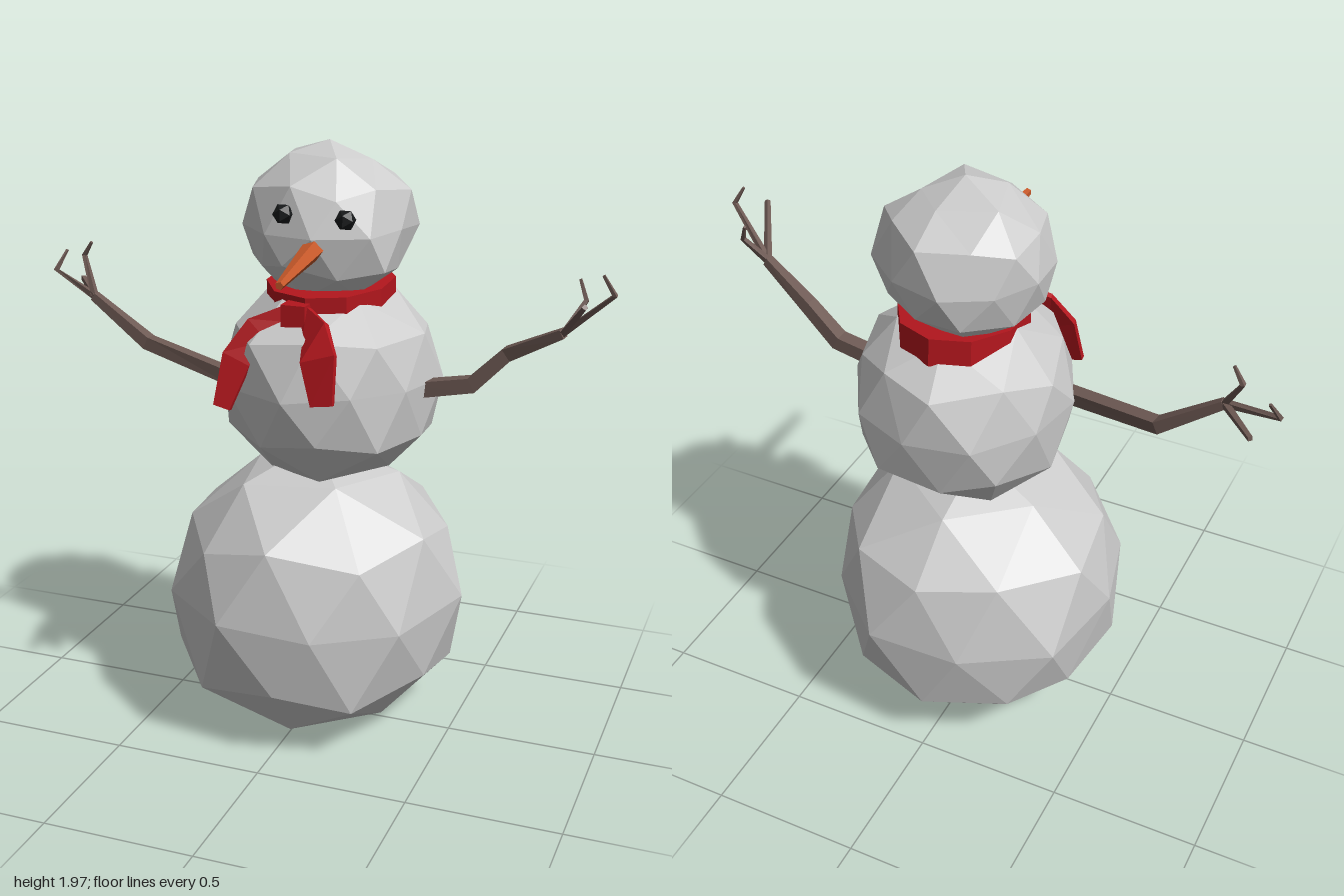
import * as THREE from 'three';

const material = (color) => new THREE.MeshStandardMaterial({ color, flatShading: true });
const snow = material(0xcccccc);
const red = material(0xb3161d);
const bark = material(0x6e5a54);
const orange = material(0xc8592a);
const coal = material(0x17191a);

function addMesh(parent, name, geometry, mat) {
  const mesh = new THREE.Mesh(geometry, mat);
  mesh.name = name;
  parent.add(mesh);
  return mesh;
}

// Lumpy faceted ball fitted into the box min..max; the powers above 2
// make its upper and lower half squarer
function snowball(min, max, turn, lump, seed, upperPower, lowerPower) {
  const geo = new THREE.IcosahedronGeometry(1, 1);
  geo.rotateZ(-Math.atan2(1, (1 + Math.sqrt(5)) / 2)); // one corner at the pole
  geo.rotateY(turn);
  const p = geo.attributes.position;
  const v = new THREE.Vector3();
  for (let i = 0; i < p.count; i++) {
    v.fromBufferAttribute(p, i);
    const power = v.y > 0 ? upperPower : lowerPower;
    v.divideScalar((Math.hypot(v.x, v.z) ** power + Math.abs(v.y) ** power) ** (1 / power));
    const { x, y, z } = v;
    v.x += lump * Math.sin(9 * y + 5 * z + seed);
    v.y += lump * Math.sin(8 * z + 6 * x + 2 * seed);
    v.z += lump * Math.sin(7 * x + 8 * y + 3 * seed);
    p.setXYZ(i, v.x, v.y, v.z);
  }
  geo.computeBoundingBox();
  const size = geo.boundingBox.getSize(new THREE.Vector3());
  const mid = geo.boundingBox.getCenter(new THREE.Vector3());
  geo.translate(-mid.x, -mid.y, -mid.z);
  geo.scale(...[size.x, size.y, size.z].map((s, k) => (max[k] - min[k]) / s));
  geo.translate(...min.map((m, k) => (m + max[k]) / 2));
  geo.computeVertexNormals();
  return geo;
}

// Tapered beam through stations [x, y, z, halfWidth, halfThickness]
function loft(stations, ref, sides = 4) {
  const pts = stations.map((s) => new THREE.Vector3(s[0], s[1], s[2]));
  const last = pts.length - 1;
  const pos = [];
  const idx = [];
  const grow = sides === 4 ? Math.SQRT2 : 1;
  pts.forEach((p, i) => {
    const t = new THREE.Vector3();
    if (i > 0) t.add(p.clone().sub(pts[i - 1]).normalize());
    if (i < last) t.add(pts[i + 1].clone().sub(p).normalize());
    t.normalize();
    const a = t.clone().cross(ref).normalize();
    const b = t.clone().cross(a);
    const [, , , w, h = w] = stations[i];
    for (let k = 0; k < sides; k++) {
      const ang = ((k + 0.5) / sides) * Math.PI * 2;
      const q = p.clone()
        .addScaledVector(a, Math.cos(ang) * w * grow)
        .addScaledVector(b, Math.sin(ang) * h * grow);
      pos.push(q.x, q.y, q.z);
    }
  });
  for (let i = 0; i < last; i++) {
    for (let k = 0; k < sides; k++) {
      const a = i * sides + k;
      const b = i * sides + ((k + 1) % sides);
      idx.push(a, b, b + sides, a, b + sides, a + sides);
    }
  }
  const end = last * sides;
  for (let k = 1; k < sides - 1; k++) idx.push(0, k + 1, k, end, end + k, end + k + 1);
  const geo = new THREE.BufferGeometry();
  geo.setAttribute('position', new THREE.Float32BufferAttribute(pos, 3));
  geo.setIndex(idx);
  const flat = geo.toNonIndexed();
  flat.computeVertexNormals();
  return flat;
}

const Y = new THREE.Vector3(0, 1, 0);
const Z = new THREE.Vector3(0, 0, 1);

// Branch with a bent limb and forked twigs at its end
function arm(name, limb, twigs) {
  const group = new THREE.Group();
  group.name = name;
  addMesh(group, 'branch', loft(limb, Z), bark);
  const tip = limb[limb.length - 1].slice(0, 3);
  twigs.forEach((twig) => {
    const path = [tip, ...twig].map((p, i) => [...p, 0.01 - 0.003 * i]);
    addMesh(group, 'twig', loft(path, Z), bark);
  });
  return group;
}

export function createModel() {
  const model = new THREE.Group();
  model.name = 'snowman';

  // Three stacked snowballs
  addMesh(model, 'lowerBody', snowball([-0.48, 0, -0.53], [0.52, 0.96, 0.46], Math.PI / 10, 0.03, 1, 2.05, 2.45), snow);
  addMesh(model, 'upperBody', snowball([-0.3, 0.87, -0.4], [0.42, 1.53, 0.33], 0.5, 0.04, 2.3, 2.2, 2.8), snow);
  addMesh(model, 'head', snowball([-0.23, 1.47, -0.32], [0.31, 1.97, 0.21], 0.1, 0.05, 4, 2.1, 2.2), snow);

  // Face
  [[-0.02, 1.77, 0.195], [0.175, 1.76, 0.175]].forEach((p, i) => {
    const eye = addMesh(model, i ? 'leftEye' : 'rightEye', new THREE.IcosahedronGeometry(0.034, 0), coal);
    eye.position.set(...p);
  });
  addMesh(model, 'carrotNose', loft([
    [0.07, 1.67, 0.12, 0.036], [0.075, 1.663, 0.2, 0.034], [0.1, 1.628, 0.53, 0.013],
  ], Y, 5), orange);

  // Scarf: neck band, knot and two hanging tails
  const scarf = new THREE.Group();
  scarf.name = 'scarf';
  const band = addMesh(scarf, 'neckBand', new THREE.CylinderGeometry(1, 1, 0.095, 10), red);
  band.scale.set(0.205, 1, 0.24);
  band.position.set(0.05, 1.478, -0.05);
  band.rotation.x = 0.06;
  const knot = addMesh(scarf, 'knot', new THREE.BoxGeometry(0.08, 0.07, 0.07), red);
  knot.position.set(0.025, 1.46, 0.2);
  addMesh(scarf, 'rightTail', loft([
    [0.0, 1.46, 0.2, 0.03, 0.01], [-0.09, 1.41, 0.24, 0.045, 0.01],
    [-0.145, 1.32, 0.28, 0.048, 0.01], [-0.18, 1.17, 0.32, 0.028, 0.01],
  ], Z), red);
  addMesh(scarf, 'leftTail', loft([
    [0.05, 1.46, 0.2, 0.03, 0.01], [0.11, 1.42, 0.26, 0.05, 0.01],
    [0.145, 1.36, 0.33, 0.058, 0.01], [0.165, 1.22, 0.35, 0.036, 0.01],
  ], Z), red);
  model.add(scarf);

  // Branch arms
  model.add(arm('rightArm',
    [[-0.2, 1.19, 0.1, 0.024], [-0.6, 1.255, -0.02, 0.022], [-0.8, 1.4, -0.02, 0.014]],
    [
      [[-0.99, 1.46, -0.1], [-0.965, 1.525, -0.14]],
      [[-0.865, 1.525, -0.08], [-0.83, 1.575, -0.07]],
      [[-0.93, 1.42, -0.18]],
    ]));
  model.add(arm('leftArm',
    [[0.33, 1.19, -0.01, 0.026], [0.54, 1.23, -0.01, 0.025], [0.65, 1.34, -0.01, 0.022], [0.83, 1.435, 0.04, 0.015]],
    [
      [[0.99, 1.58, 0.11], [0.955, 1.64, 0.12]],
      [[0.92, 1.56, 0.2]],
      [[0.885, 1.53, -0.01], [0.86, 1.59, -0.03]],
    ]));
  return model;
}
